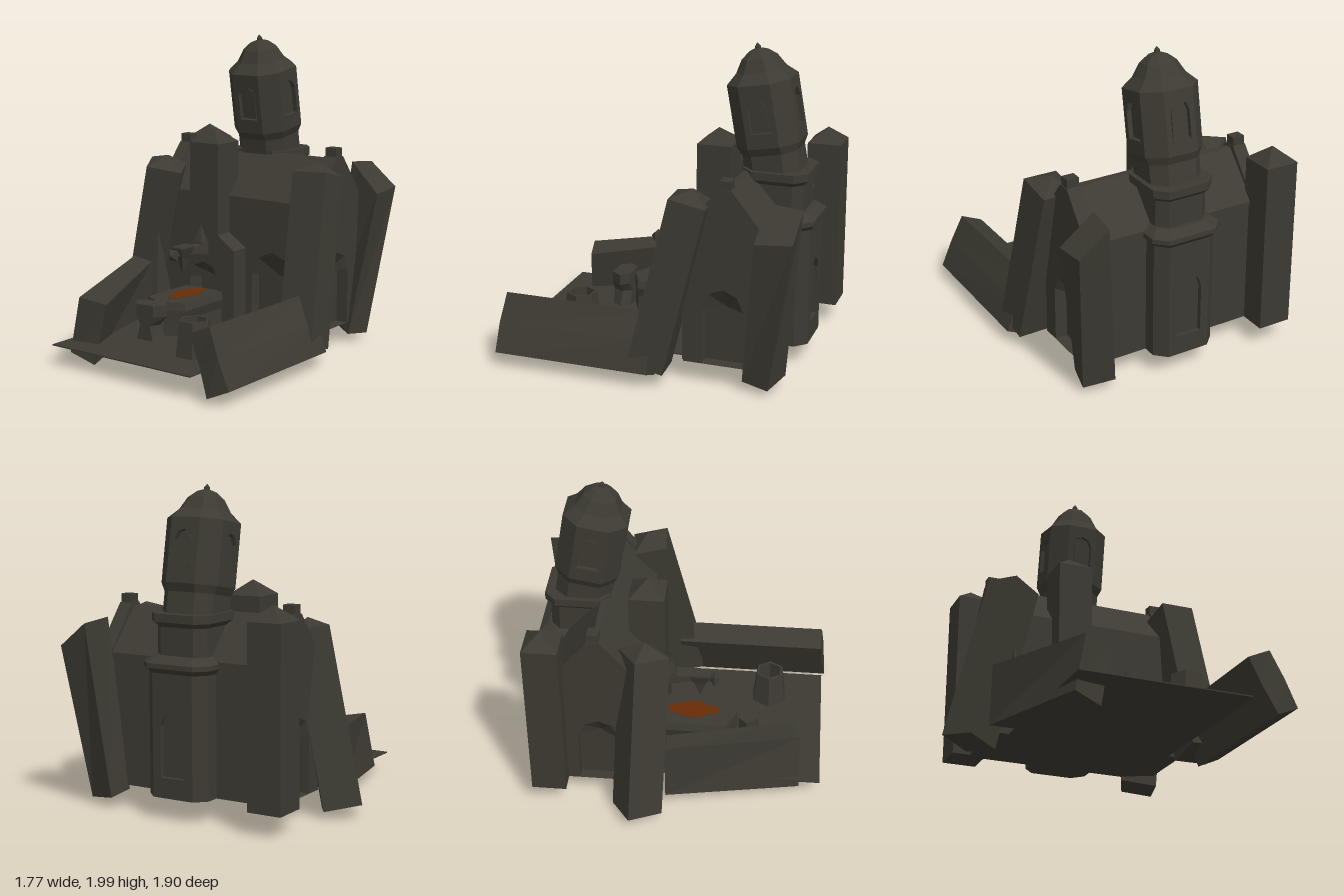
import * as THREE from 'three';

const stone = new THREE.MeshStandardMaterial({ color: 0x3c3a32 });
stone.name = 'dark stone';
const ember = new THREE.MeshStandardMaterial({ color: 0x672c06 });
ember.name = 'ember orange';

// Gives every face its own flat normal
function flat(geo) {
  const g = geo.index ? geo.toNonIndexed() : geo;
  g.computeVertexNormals();
  return g;
}

function add(parent, name, geo, x = 0, y = 0, z = 0, mat = stone) {
  const m = new THREE.Mesh(flat(geo), mat);
  m.name = name;
  m.position.set(x, y, z);
  parent.add(m);
  return m;
}

// Box given by its minimum and maximum corners
function block(parent, name, a, b) {
  return add(parent, name, new THREE.BoxGeometry(b[0] - a[0], b[1] - a[1], b[2] - a[2]),
    (a[0] + b[0]) / 2, (a[1] + b[1]) / 2, (a[2] + b[2]) / 2);
}

function meshFrom(positions) {
  const g = new THREE.BufferGeometry();
  g.setAttribute('position', new THREE.Float32BufferAttribute(positions, 3));
  return g;
}

// Closed solid through rings of points, each counter-clockwise from above
function loft(rings) {
  const p = [], n = rings[0].length;
  for (let r = 0; r + 1 < rings.length; r++) {
    for (let i = 0; i < n; i++) {
      const j = (i + 1) % n, a = rings[r], b = rings[r + 1];
      p.push(...a[i], ...a[j], ...b[j], ...a[i], ...b[j], ...b[i]);
    }
  }
  const lo = rings[0], hi = rings[rings.length - 1];
  for (let i = 1; i + 1 < n; i++) {
    p.push(...lo[0], ...lo[i + 1], ...lo[i], ...hi[0], ...hi[i], ...hi[i + 1]);
  }
  return meshFrom(p);
}

// Square ring (half width w) with chamfered corners c
function ring(w, c, y) {
  const d = w - c;
  return [[d, y, w], [w, y, d], [w, y, -d], [d, y, -w], [-d, y, -w], [-w, y, -d], [-w, y, d], [-d, y, w]];
}
const square = (w, y, dz = w) => [[w, y, dz], [w, y, -dz], [-w, y, -dz], [-w, y, dz]];

// Square tower with a pyramid cap, running from one point to another
function tower(parent, name, from, to, width, cap, turn = 0) {
  const a = new THREE.Vector3(...from), dir = new THREE.Vector3(...to).sub(a);
  const len = dir.length(), w = width / 2;
  const geo = loft([square(w, 0), square(w, len), square(0.002, len + cap)]);
  geo.rotateY(turn);
  const m = add(parent, name, geo, ...from);
  m.quaternion.setFromUnitVectors(new THREE.Vector3(0, 1, 0), dir.normalize());
  return m;
}

// Arch outline points, starting at the lower left
function archPoints(x, y, w, h) {
  const k = y + h - w * 0.5, q = y + h - w * 0.14;
  return [[x - w / 2, y], [x + w / 2, y], [x + w / 2, k], [x + w * 0.34, q], [x, y + h], [x - w * 0.34, q], [x - w / 2, k]]
    .map(p => new THREE.Vector2(...p));
}
const archHole = (...a) => new THREE.Path(archPoints(...a));
const polygon = points => new THREE.Shape(points.map(p => new THREE.Vector2(...p)));
const extrude = (shape, depth) => new THREE.ExtrudeGeometry(shape, { depth, bevelEnabled: false });

// Sloping underside filling the head of an arched recess, front edge at z = 0
function archHood(x, y, w, h, depth) {
  const pts = archPoints(x, y, w, h).slice(2), back = [x, pts[0].y, -depth], p = [];
  for (let i = 0; i + 1 < pts.length; i++) {
    p.push(pts[i].x, pts[i].y, 0, pts[i + 1].x, pts[i + 1].y, 0, ...back);
  }
  return meshFrom(p);
}

// Wall panel facing +z at a distance, mitred at its sides, with an optional opening
function panel(parent, name, w, y0, y1, distance, hole) {
  const t = 0.03, s = polygon([[-w, y0], [w, y0], [w, y1], [-w, y1]]);
  if (hole) s.holes.push(hole);
  const geo = extrude(s, t), pos = geo.attributes.position;
  for (let i = 0; i < pos.count; i++) {
    const x = pos.getX(i);
    if (pos.getZ(i) < t / 2 && Math.abs(x) > w - 0.001) pos.setX(i, x + Math.sign(x) * t);
  }
  geo.translate(0, 0, distance - t);
  return add(parent, name, geo);
}

function buildHall(root) {
  const hall = new THREE.Group();
  hall.name = 'hall';
  root.add(hall);
  block(hall, 'hallCore', [-0.5, 0.145, -0.7], [0.61, 0.96, -0.3]);
  // Front wall with arched doorway
  const front = polygon([[-0.55, 0.145], [0.67, 0.145], [0.67, 0.96], [-0.55, 0.96]]);
  front.holes.push(archHole(0.365, 0.146, 0.32, 0.49));
  add(hall, 'frontWall', extrude(front, 0.08), 0, 0, -0.3);
  add(hall, 'doorHood', archHood(0.365, 0.146, 0.32, 0.49, 0.078), 0, 0, -0.22);
  block(hall, 'backWall', [-0.55, 0.145, -0.73], [0.67, 0.96, -0.69]);
  // Gable roof, profile drawn along -z
  const roof = extrude(polygon([[0.22, 0.94], [0.74, 0.94], [0.74, 0.97], [0.5, 1.24], [0.46, 1.24], [0.22, 0.97]]), 1.22);
  roof.rotateY(Math.PI / 2);
  add(hall, 'roof', roof, -0.55, 0, 0);
  // Gable end walls with a doorway and an apex block
  for (const x of [-0.57, 0.6]) {
    const s = polygon([[0.235, 0.145], [0.735, 0.145], [0.735, 1.0], [0.53, 1.255], [0.45, 1.255], [0.235, 1.0]]);
    s.holes.push(archHole(0.48, 0.146, 0.26, 0.49));
    const g = extrude(s, 0.09);
    g.rotateY(Math.PI / 2);
    add(hall, 'gableWall', g, x, 0, 0);
    block(hall, 'gableApex', [x + 0.005, 1.22, -0.525], [x + 0.085, 1.31, -0.455]);
    const hood = archHood(0, 0.146, 0.26, 0.49, 0.078);
    const side = Math.sign(x);
    hood.rotateY(side * Math.PI / 2);
    add(hall, 'sideDoorHood', hood, side > 0 ? 0.69 : -0.57, 0, -0.48);
  }
}

function buildBellTower(root) {
  const base = new THREE.Group();
  base.name = 'bellTowerBase';
  base.position.set(0.06, 0, -0.675);
  root.add(base);
  // Lower shaft: core with outer panels, the back one holding a niche
  add(base, 'lowerShaft', loft([ring(0.18, 0.01, 0.145), ring(0.18, 0.01, 0.92)]));
  for (let i = 0; i < 4; i++) {
    const hole = i === 2 ? archHole(0, 0.27, 0.17, 0.4) : null;
    const wall = panel(base, 'lowerShaftWall', 0.14, 0.145, 0.92, 0.21, hole);
    wall.rotation.y = i * Math.PI / 2;
  }
  add(base, 'lowerLedge', loft([ring(0.21, 0.07, 0.9), ring(0.235, 0.075, 0.93), ring(0.235, 0.075, 0.96), ring(0.18, 0.06, 1.0)]));
  add(base, 'middleShaft', loft([ring(0.175, 0.06, 0.95), ring(0.175, 0.06, 1.22)]), 0, 0, 0.02);
  add(base, 'upperLedge', loft([ring(0.175, 0.06, 1.17), ring(0.205, 0.07, 1.2), ring(0.205, 0.07, 1.25)]), 0, 0, 0.02);

  // Leaning belfry with a recessed arched window on each side
  const top = new THREE.Group();
  top.name = 'belfry';
  top.position.set(0.06, 1.28, -0.615);
  top.rotation.x = 0.175;
  root.add(top);
  add(top, 'belfryNeck', loft([ring(0.175, 0.08, -0.08), ring(0.175, 0.08, 0.07), ring(0.2, 0.1, 0.12)]));
  add(top, 'belfryCore', loft([ring(0.17, 0.04, 0.12), ring(0.17, 0.04, 0.51)]));
  for (let i = 0; i < 4; i++) {
    const side = new THREE.Group();
    side.name = 'belfrySide';
    side.rotation.y = i * Math.PI / 2;
    top.add(side);
    panel(side, 'belfryWall', 0.1, 0.12, 0.51, 0.2, archHole(0, 0.2, 0.13, 0.24));
    add(side, 'windowPanel', extrude(new THREE.Shape(archPoints(0, 0.215, 0.09, 0.2)), 0.009), 0, 0, 0.17);
    block(side, 'windowSill', [-0.06, 0.2, 0.16], [0.06, 0.212, 0.202]);
  }
  add(top, 'dome', loft([ring(0.2, 0.1, 0.51), ring(0.14, 0.07, 0.57), ring(0.1, 0.05, 0.645),
    ring(0.055, 0.028, 0.685), ring(0.016, 0.008, 0.7), ring(0.016, 0.008, 0.712), ring(0.002, 0.001, 0.732)]));
}

function buildForge(root) {
  const forge = new THREE.Group();
  forge.name = 'forge';
  forge.position.x = -0.09;
  root.add(forge);
  // Chimney with wide shouldered foot and an arched firebox
  tower(forge, 'chimney', [0, 0.6, -0.205], [0, 1.32, -0.205], 0.225, 0.09);
  const foot = polygon([[-0.245, 0.145], [0.245, 0.145], [0.245, 0.64], [0.11, 0.73], [-0.11, 0.73], [-0.245, 0.64]]);
  foot.holes.push(archHole(0, 0.3, 0.23, 0.24));
  add(forge, 'chimneyFoot', extrude(foot, 0.13), 0, 0, -0.22);
  add(forge, 'fireboxHood', archHood(0, 0.3, 0.23, 0.24, 0.128), 0, 0, -0.09);
  // Hearth with a pointed front and glowing coals
  const plan = (s, y) => [[0, y, 0.34 + 0.035 * s], [0.16 * s, y, 0.3], [0.16 * s, y, -0.1], [-0.16 * s, y, -0.1], [-0.16 * s, y, 0.3]];
  add(forge, 'hearth', loft([plan(0.95, 0.145), plan(0.9, 0.25), plan(1, 0.31), plan(0.92, 0.36)]));
  const coals = extrude(polygon([[0, -0.26], [0.04, -0.23], [0.04, -0.18], [0.08, -0.13], [0.08, -0.06], [0.03, 0.08],
    [-0.03, 0.08], [-0.08, -0.06], [-0.08, -0.13], [-0.04, -0.18], [-0.04, -0.23]]), 0.003);
  coals.rotateX(-Math.PI / 2);
  add(forge, 'coals', coals, 0, 0.36, 0, ember);
  // Anvil: flared stem and hexagonal head
  const head = (s, y) => [[0.07 * s, y, 0.51], [0.125 * s, y, 0.44], [0.07 * s, y, 0.385],
    [-0.07 * s, y, 0.385], [-0.125 * s, y, 0.44], [-0.07 * s, y, 0.51]];
  add(forge, 'anvil', loft([head(0.9, 0.145), head(0.55, 0.24), head(0.95, 0.3), head(0.95, 0.37)]));
  // Bracket over the fire: bar, flared tip, hanging and upright spikes
  const bar = loft([square(0.04, -0.1), square(0.018, 0.06), square(0.025, 0.13), square(0.012, 0.19), square(0.035, 0.22), square(0.002, 0.255)]);
  bar.rotateX(Math.PI / 2);
  add(forge, 'bracketBar', bar, 0, 0.635, 0);
  add(forge, 'hangingSpike', loft([square(0.002, 0.5), square(0.02, 0.6, 0.035), square(0.042, 0.67, 0.07), square(0.04, 0.68, 0.07)]), 0, 0, 0.125);
  add(forge, 'uprightSpike', loft([square(0.03, 0.6), square(0.03, 0.68), square(0.002, 0.79)]), 0, 0, -0.06);
}

function buildRuins(root) {
  tower(root, 'backRightTower', [-0.58, 0.145, -0.795], [-0.58, 1.25, -0.795], 0.22, 0.09);
  tower(root, 'frontRightTower', [-0.73, 0.06, -0.225], [-0.48, 1.13, -0.19], 0.235, 0.07, 0.55);
  tower(root, 'frontLeftTower', [0.735, 0.12, -0.03], [0.665, 1.17, -0.275], 0.23, 0.07, 0.08);
  // Twisted tower with a sheared-off top
  add(root, 'backLeftTower', loft([
    [[0.7, 0.07, -0.61], [0.74, 0.05, -0.78], [0.55, 0.08, -0.84], [0.495, 0.12, -0.72]],
    [[0.84, 1.0, -0.71], [0.84, 1.02, -0.94], [0.65, 1.17, -0.95], [0.63, 1.19, -0.74]]]));

  // Toppled wall leaning on the left
  const slab = add(root, 'leftFallenWall', loft([
    [[0.078, -0.19, 0.5], [0.078, -0.19, -0.5], [-0.078, -0.19, -0.5], [-0.078, -0.19, 0.52]],
    [[0.078, 0, 0.5], [0.09, 0, -0.5], [-0.078, 0, -0.5], [-0.078, 0, 0.49]],
    [[0.078, 0.19, 0.48], [0.078, 0.19, -0.5], [-0.078, 0.19, -0.5], [-0.078, 0.19, 0.48]]]), 0.735, 0.25, 0.435);
  slab.rotation.z = 0.42;

  // Broken wall slumped on the right, with a jagged shard at its far end
  add(root, 'rightFallenWall', loft([
    [[-0.28, 0.01, 0.77], [-0.5, 0.12, -0.05], [-0.66, 0.12, -0.05], [-0.45, 0.07, 0.8]],
    [[-0.2, 0.4, 0.74], [-0.5, 0.49, -0.05], [-0.65, 0.51, -0.05], [-0.38, 0.43, 0.79]]]));
  add(root, 'wallShard', loft([square(0.05, 0.25, 0.08), square(0.002, 0.69)]), -0.49, 0, -0.11);

  // Hollow six-sided barrel
  const barrel = new THREE.LatheGeometry([[0, 0], [0.125, 0], [0.098, 0.22], [0.08, 0.22], [0.08, 0.005], [0, 0.005]]
    .map(p => new THREE.Vector2(...p)), 6);
  barrel.rotateY(Math.PI / 6);
  add(root, 'barrel', barrel, 0.355, 0.145, 0.57);
}

export function createModel() {
  const root = new THREE.Group();
  root.name = 'ruinedForge';
  block(root, 'floor', [-0.48, 0.137, -0.25], [0.6, 0.145, 0.93]);
  buildHall(root);
  buildBellTower(root);
  buildForge(root);
  buildRuins(root);
  return root;
}
